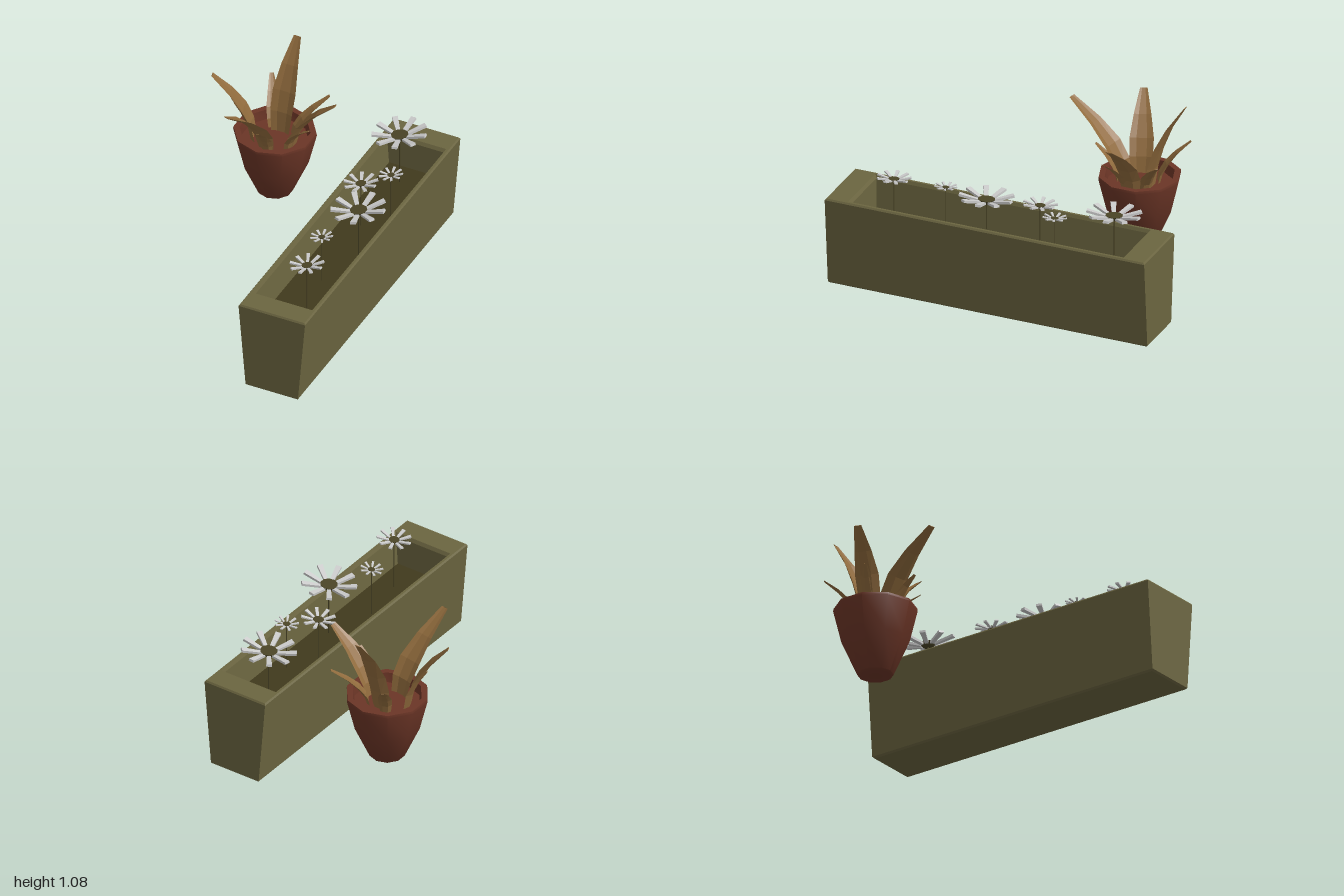
import * as THREE from 'three';
import { toCreasedNormals } from 'three/addons/utils/BufferGeometryUtils.js';

const mat = (color, extra = {}) => new THREE.MeshStandardMaterial({ color, ...extra });
const olive = mat(0x6b6540);
const soil = mat(0x40391c);
const clay = mat(0x6b3526);
const leafMat = mat(0x8f6a3c, { flatShading: true });
const stemMat = mat(0x4a4426);
const petalMat = mat(0xcccccc);

function add(parent, name, geometry, material, x = 0, y = 0, z = 0) {
  const mesh = new THREE.Mesh(geometry, material);
  mesh.name = name;
  mesh.position.set(x, y, z);
  parent.add(mesh);
  return mesh;
}

// Skin over closed cross-sections (counterclockwise seen from the end), capped at both ends
function loft(rows) {
  const n = rows[0].length, last = rows[rows.length - 1], pos = [];
  const tri = (...pts) => pts.forEach((p) => pos.push(...p));
  for (let i = 0; i < rows.length - 1; i++) {
    for (let j = 0; j < n; j++) {
      const k = (j + 1) % n;
      tri(rows[i][j], rows[i][k], rows[i + 1][k]);
      tri(rows[i][j], rows[i + 1][k], rows[i + 1][j]);
    }
  }
  for (let j = 1; j < n - 1; j++) {
    tri(rows[0][0], rows[0][j + 1], rows[0][j]);
    tri(last[0], last[j], last[j + 1]);
  }
  const geo = new THREE.BufferGeometry();
  geo.setAttribute('position', new THREE.Float32BufferAttribute(pos, 3));
  geo.computeVertexNormals();
  return geo;
}

// Leaf arching from (r0, y0) outwards to (r1, y1) along +z, with a channelled section
function leafGeometry(r0, y0, r1, y1, width) {
  const section = [[0.5, 0], [0.22, -0.1], [-0.22, -0.1], [-0.5, 0], [-0.22, -0.24], [0.22, -0.24]];
  const stations = [[0, 0.75], [0.25, 0.95], [0.48, 1], [0.74, 0.72], [1, 0.31]];
  const rows = stations.map(([t, w]) => {
    const y = y0 + (y1 - y0) * t;
    const r = r0 + (r1 - r0) * t ** 1.9;
    const dy = y1 - y0, dr = (r1 - r0) * 1.9 * t ** 0.9;
    const len = Math.hypot(dy, dr);
    const depth = width * w * (1 - 0.55 * t);
    return section.map(([s, n]) => [s * width * w, y + n * depth * dr / len, r - n * depth * dy / len]);
  });
  return loft(rows);
}

function makePlanter() {
  const planter = new THREE.Group();
  planter.name = 'planter';
  // y, half width, half length: outside upwards, over the rim, then down the inside
  const levels = [
    [0, 0.157, 0.99], [0.01, 0.167, 1], [0.55, 0.212, 1], [0.56, 0.205, 0.993],
    [0.56, 0.19, 0.862], [0.54, 0.182, 0.85], [0.34, 0.165, 0.845],
  ];
  const rows = levels.map(([y, w, l]) => [[w, y, l], [w, y, -l], [-w, y, -l], [-w, y, l]]);
  add(planter, 'trough', loft(rows), olive, 0.423, 0, 0);
  const bed = new THREE.PlaneGeometry(0.332, 1.69).rotateX(-Math.PI / 2);
  add(planter, 'troughSoil', bed, soil, 0.423, 0.36, 0);
  return planter;
}

function makeFlower(x, z, y, radius, turn) {
  const flower = new THREE.Group();
  flower.name = 'flower';
  flower.position.set(x, 0, z);
  const stemR = 0.018 * radius + 0.0015, bottom = 0.35;
  add(flower, 'stem', new THREE.CylinderGeometry(stemR, stemR, y - bottom, 6), stemMat, 0, (y + bottom) / 2, 0);

  // Slightly tilted head
  const head = new THREE.Group();
  head.name = 'flowerHead';
  head.position.y = y;
  head.rotation.z = 0.1;
  flower.add(head);
  add(head, 'flowerCentre', new THREE.CylinderGeometry(radius * 0.32, radius * 0.2, radius * 0.16, 10), stemMat);

  // Petals widen towards the tip and rise outwards
  const len = radius * 0.76;
  const petal = new THREE.BoxGeometry(len, radius * 0.09, radius * 0.21);
  const p = petal.attributes.position;
  for (let i = 0; i < p.count; i++) if (p.getX(i) < 0) p.setZ(i, p.getZ(i) * 0.65);
  petal.translate(len / 2, 0, 0).rotateZ(0.22).translate(radius * 0.26, 0, 0);
  const count = 9;
  for (let i = 0; i < count; i++) {
    add(head, 'petal', petal, petalMat).rotation.y = turn + (i / count) * Math.PI * 2;
  }
  return flower;
}

function makePottedPlant() {
  const plant = new THREE.Group();
  plant.name = 'pottedPlant';
  const cx = -0.322, cz = -0.545;
  plant.position.set(cx, 0, cz);

  // Ten-sided pot with a rim and a filled inside
  const profile = [
    [0, 0.175], [0.09, 0.175], [0.105, 0.185], [0.195, 0.39], [0.242, 0.585],
    [0.24, 0.6], [0.205, 0.6], [0.195, 0.54], [0, 0.54],
  ].map(([r, y]) => new THREE.Vector2(r, y));
  const pot = new THREE.LatheGeometry(profile, 10);
  add(plant, 'pot', toCreasedNormals(pot, 0.7), clay);

  // Tip x, y, z, width and base radius of each leaf
  const leaves = [
    [-0.32, 1.08, -0.83, 0.145, 0.06],
    [-0.40, 0.965, -0.085, 0.15, 0.09],
    [-0.66, 0.965, -0.42, 0.14, 0.11],
    [0.07, 0.91, -0.525, 0.14, 0.1],
    [-0.05, 0.755, -0.43, 0.08, 0.11],
    [-0.08, 0.78, -0.76, 0.08, 0.1],
    [-0.47, 0.79, -0.80, 0.08, 0.1],
    [-0.30, 0.75, -0.28, 0.08, 0.12],
    [-0.54, 0.78, -0.46, 0.08, 0.12],
  ];
  for (const [x, y, z, width, r0] of leaves) {
    const dx = x - cx, dz = z - cz;
    const leaf = add(plant, 'leaf', leafGeometry(r0, 0.53, Math.hypot(dx, dz), y, width), leafMat);
    leaf.rotation.y = Math.atan2(dx, dz);
  }
  return plant;
}

export function createModel() {
  const model = new THREE.Group();
  model.name = 'planterAndPottedPlant';
  model.add(makePlanter(), makePottedPlant());

  // x, z, head height, radius
  const flowers = [
    [0.395, -0.705, 0.685, 0.16], [0.5, -0.38, 0.655, 0.07], [0.38, -0.235, 0.65, 0.1],
    [0.505, 0.045, 0.685, 0.16], [0.415, 0.34, 0.665, 0.066], [0.47, 0.64, 0.68, 0.1],
  ];
  flowers.forEach(([x, z, y, r], i) => model.add(makeFlower(x, z, y, r, 0.1 + i * 0.23)));
  return model;
}
